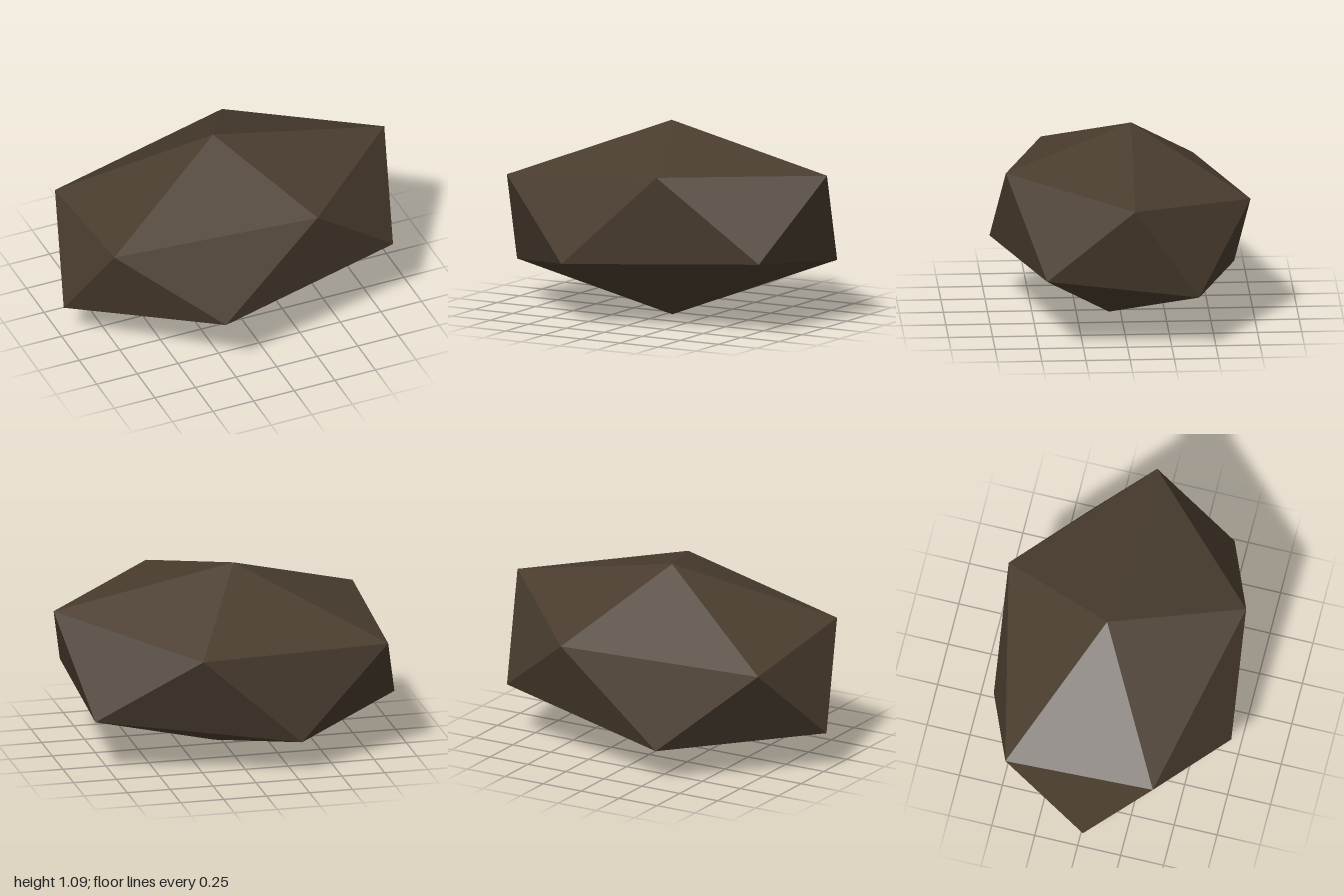
import * as THREE from 'three';

export function createModel() {
  const group = new THREE.Group();
  group.name = 'rock';
  const stone = new THREE.MeshStandardMaterial({ color: 0x4a3d2f, flatShading: true });
  stone.name = 'dark brown stone';

  // A skewed icosahedron, symmetric about its centre: top point and upper ring of five
  const centre = new THREE.Vector3(0, 0.545, 0);
  const top = new THREE.Vector3(-0.04, 1.09, -0.065);
  const upper = [
    [1.0, 0.87, -0.03], [0.29, 0.9, 0.663], [-0.848, 0.775, 0.4],
    [-0.842, 0.67, -0.46], [0.3, 0.73, -0.722],
  ].map((p) => new THREE.Vector3(...p));

  // The lower half is the upper half mirrored through the centre
  const opposite = (p) => centre.clone().multiplyScalar(2).sub(p);
  const bottom = opposite(top);
  const lower = upper.map((_, i) => opposite(upper[(i + 3) % 5]));

  // Cap, two bands of side facets, and base
  const corners = [];
  for (let i = 0; i < 5; i++) {
    const j = (i + 1) % 5;
    corners.push(top, upper[j], upper[i]);
    corners.push(upper[i], upper[j], lower[i]);
    corners.push(lower[i], upper[j], lower[j]);
    corners.push(bottom, lower[i], lower[j]);
  }
  const geometry = new THREE.BufferGeometry().setFromPoints(corners);
  geometry.computeVertexNormals();

  const boulder = new THREE.Mesh(geometry, stone);
  boulder.name = 'boulder';
  group.add(boulder);
  return group;
}
